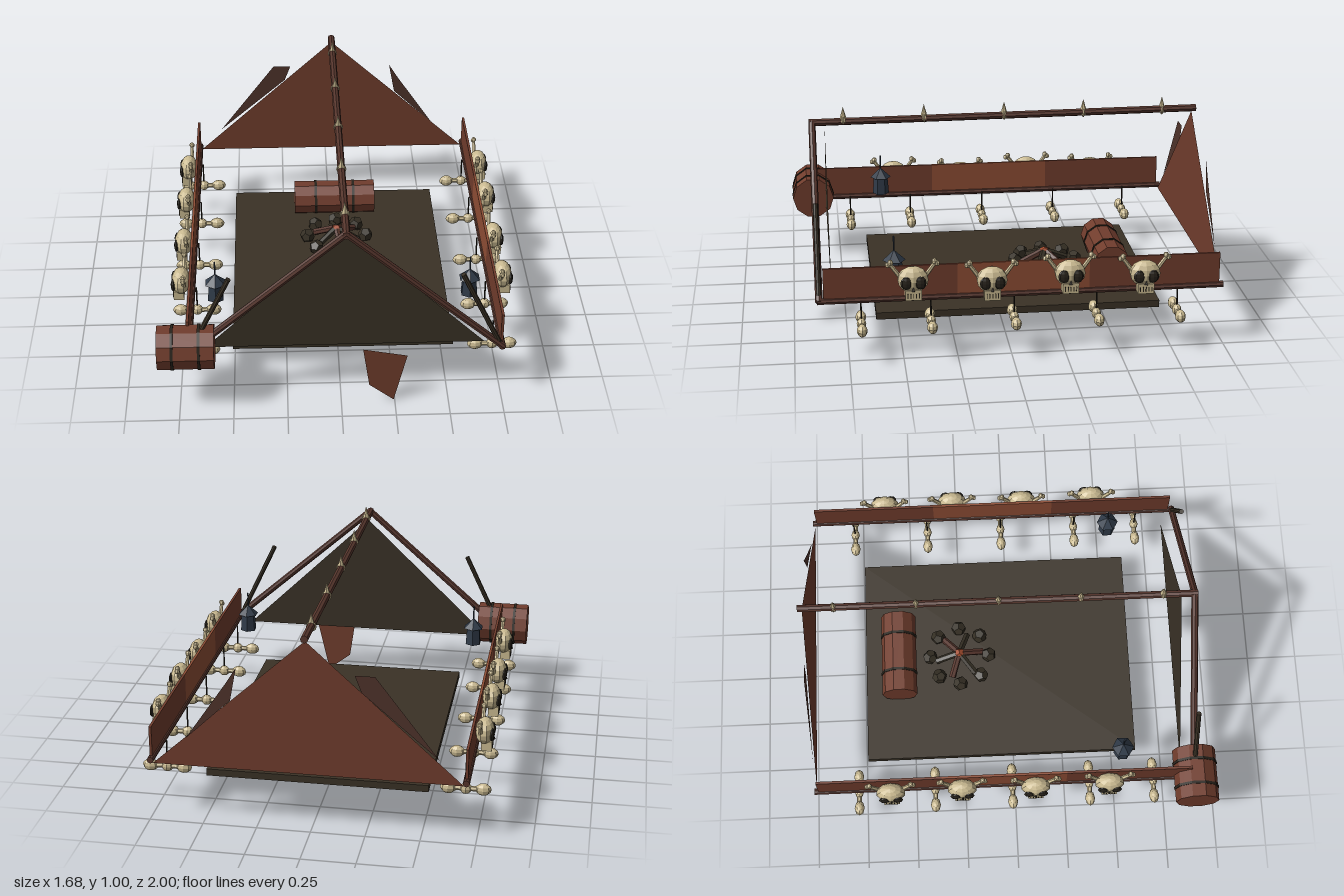
import * as THREE from 'three';

const mat = (name, color, side = THREE.FrontSide) => {
  const m = new THREE.MeshStandardMaterial({ color, side });
  m.name = name;
  m.flatShading = true;
  return m;
};

export function createModel() {
  const M = {
    pole: mat('poleWood', 0x57362d),
    rust: mat('rustWood', 0x713d2d, THREE.DoubleSide),
    bright: mat('brightPlank', 0x8f4e35),
    dark: mat('darkHide', 0x3a3226, THREE.DoubleSide),
    torn: mat('tornCloth', 0x4f332b, THREE.DoubleSide),
    bone: mat('bone', 0xcbbb92),
    black: mat('hollowBlack', 0x29241c),
    iron: mat('iron', 0x303b49),
    ember: mat('ember', 0xa54d2e),
    stone: mat('stone', 0x352f24),
  };

  const root = new THREE.Group();
  root.name = 'longhouseTent';
  const tent = new THREE.Group();
  tent.name = 'tent';
  tent.position.x = 0.02; // symmetry plane of the tent
  root.add(tent);

  const add = (parent, name, geo, m, x = 0, y = 0, z = 0) => {
    const mesh = new THREE.Mesh(geo, m);
    mesh.name = name;
    mesh.position.set(x, y, z);
    parent.add(mesh);
    return mesh;
  };
  const group = (parent, name, x = 0, y = 0, z = 0) => {
    const g = new THREE.Group();
    g.name = name;
    g.position.set(x, y, z);
    parent.add(g);
    return g;
  };
  // Round bar between two points
  const bar = (parent, name, a, b, r0, r1, m, sides = 8) => {
    const p = new THREE.Vector3(...a), q = new THREE.Vector3(...b);
    const d = q.clone().sub(p);
    const mesh = add(parent, name, new THREE.CylinderGeometry(r1, r0, d.length(), sides), m);
    mesh.position.copy(p.add(q).multiplyScalar(0.5));
    mesh.quaternion.setFromUnitVectors(new THREE.Vector3(0, 1, 0), d.normalize());
    return mesh;
  };
  // Flat sheet in the xy plane
  const sheet = (name, pts, m, z) =>
    add(tent, name, new THREE.ShapeGeometry(new THREE.Shape(pts.map(p => new THREE.Vector2(...p)))), m, 0, 0, z);
  const ball = (parent, name, size, m, x, y, z, w = 8, h = 6) => {
    const b = add(parent, name, new THREE.SphereGeometry(1, w, h), m, x, y, z);
    b.scale.set(...size);
    return b;
  };

  // Floor
  add(tent, 'floor', new THREE.BoxGeometry(1.05, 0.034, 1.35), M.dark, 0, 0.128, -0.06);

  // Frame poles
  bar(tent, 'ridgePole', [0, 0.927, 0.895], [0, 0.94, -1], 0.018, 0.018, M.pole);
  for (const s of [-1, 1]) {
    bar(tent, 'eavePole', [s * 0.72, 0.297, 0.89], [s * 0.72, 0.297, -0.99], 0.016, 0.016, M.pole);
    bar(tent, 'frontRafter', [0, 0.93, 0.88], [s * 0.725, 0.295, 0.88], 0.017, 0.017, M.pole);
    bar(tent, 'leaningStake', [s * 0.72, 0.29, 0.88], [s * 0.525, 0.7, 0.88], 0.012, 0.012, M.dark);
  }

  // Gable sheets and torn cloth
  sheet('frontGable', [[-0.645, 0.28], [0.645, 0.28], [0, 0.9]], M.dark, 0.82);
  sheet('backGable', [[-0.71, 0.28], [0.71, 0.28], [0, 0.925]], M.rust, -0.98);
  sheet('tornClothRight', [[-0.22, 0.78], [-0.31, 0.78], [-0.6, 0.4], [-0.25, 0.7]], M.torn, -0.986);
  sheet('tornClothLeft', [[0.31, 0.78], [0.36, 0.7], [0.55, 0.42], [0.34, 0.62]], M.torn, -0.986);
  sheet('frontFlap', [[0.08, 0.295], [0.285, 0.255], [0.225, 0.0], [0.11, 0.09]], M.rust, 0.885);

  // Spikes tied along the ridge
  for (const z of [0.73, 0.34, -0.05, -0.44, -0.83]) {
    const spike = group(tent, 'ridgeSpike', 0, 0.935, z);
    add(spike, 'spike', new THREE.ConeGeometry(0.021, 0.075, 6), M.bone, 0, 0.03, 0);
    add(spike, 'binding', new THREE.TorusGeometry(0.02, 0.004, 5, 10), M.bone);
  }

  // Skull facing +x, with two raised horn bones
  const skull = (parent, y, z) => {
    const g = group(parent, 'skull', 0.765, y, z);
    ball(g, 'cranium', [0.045, 0.062, 0.073], M.bone, 0, 0.01, 0, 10, 8);
    add(g, 'jaw', new THREE.BoxGeometry(0.05, 0.048, 0.075), M.bone, 0.012, -0.055, 0);
    add(g, 'nose', new THREE.ConeGeometry(0.01, 0.02, 3), M.black, 0.041, -0.023, 0);
    for (const s of [-1, 1]) {
      ball(g, 'eyeSocket', [0.012, 0.031, 0.027], M.black, 0.036, 0.005, s * 0.032);
      bar(g, 'hornBone', [-0.015, -0.02, s * 0.03], [-0.015, 0.085, s * 0.105], 0.012, 0.009, M.bone, 6);
      ball(g, 'hornKnob', [0.014, 0.014, 0.014], M.bone, -0.015, 0.088, s * 0.1, 6, 5);
      ball(g, 'hornKnob', [0.013, 0.013, 0.013], M.bone, -0.015, 0.078, s * 0.112, 6, 5);
    }
    for (let i = -2; i <= 2; i++)
      add(g, 'toothGap', new THREE.BoxGeometry(0.004, 0.022, 0.004), M.black, 0.038, -0.057, i * 0.013);
  };

  // Everything repeated on both long sides
  for (const s of [-1, 1]) {
    const side = group(tent, s > 0 ? 'leftSide' : 'rightSide');
    if (s < 0) side.rotation.y = Math.PI;
    [0.555, -0.055, -0.665].forEach((z, i) =>
      add(side, 'sidePlank', new THREE.BoxGeometry(0.012, 0.165, 0.61), i === 1 ? M.bright : M.rust, 0.72, 0.373, z * s));
    [0.455, 0.096, -0.262, -0.61].forEach((z, i) => skull(side, i % 2 ? 0.378 : 0.395, z * s));

    // Bone charms hanging from the eave
    for (const z of [0.69, 0.37, -0.015, -0.4, -0.78]) {
      const charm = group(side, 'boneCharm', 0.7, 0.17, z * s);
      bar(charm, 'cord', [0, 0, 0], [0, 0.13, 0], 0.004, 0.004, M.black, 5);
      bar(charm, 'link', [-0.08, 0, 0], [0.08, 0, 0], 0.012, 0.012, M.bone, 6);
      ball(charm, 'bead', [0.029, 0.027, 0.022], M.bone, 0, 0, 0);
      for (const t of [-1, 1]) ball(charm, 'boneEnd', [0.038, 0.029, 0.025], M.bone, t * 0.08, 0, 0);
    }

    // Lantern
    const lantern = group(side, 'lantern', 0.6, 0, 0.53 * s);
    add(lantern, 'lanternBody', new THREE.CylinderGeometry(0.036, 0.042, 0.09, 6), M.iron, 0, 0.395, 0);
    add(lantern, 'lanternRoof', new THREE.ConeGeometry(0.053, 0.05, 6), M.iron, 0, 0.463, 0);
    bar(lantern, 'lanternRod', [0, 0.47, 0], [0, 0.555, 0], 0.004, 0.004, M.iron, 5);
  }

  // Barrels lying along x
  const barrel = (x, y, z, r, len, m) => {
    const g = group(root, 'barrel', x, y, z);
    g.rotation.z = Math.PI / 2;
    add(g, 'barrelBody', new THREE.CylinderGeometry(r, r, len, 10), m);
    for (const s of [-1, 1])
      add(g, 'barrelHoop', new THREE.CylinderGeometry(r + 0.004, r + 0.004, 0.013, 10), M.black, 0, s * len * 0.235, 0);
  };
  barrel(-0.71, 0.333, 0.885, 0.106, 0.26, M.rust);
  barrel(0.02, 0.218, -0.563, 0.088, 0.42, M.rust);

  // Campfire: stone ring, leaning logs and ember
  const fire = group(tent, 'campfire', 0, 0.145, -0.255);
  for (let i = 0; i < 8; i++) {
    const a = i * Math.PI / 4;
    const rock = add(fire, 'hearthStone', new THREE.DodecahedronGeometry(0.038), M.stone,
      Math.cos(a) * 0.15, 0.03, Math.sin(a) * 0.15);
    rock.rotation.set(i, i * 1.7, 0);
  }
  for (let i = 0; i < 6; i++) {
    const a = i * Math.PI / 3 + 0.35, c = Math.cos(a), n = Math.sin(a);
    bar(fire, 'log', [c * 0.12, 0.025, n * 0.12], [c * 0.015, 0.07, n * 0.015], 0.017, 0.017, i % 2 ? M.pole : M.stone, 6);
  }
  add(fire, 'ember', new THREE.DodecahedronGeometry(0.028), M.ember, 0, 0.066, 0);

  return root;
}
